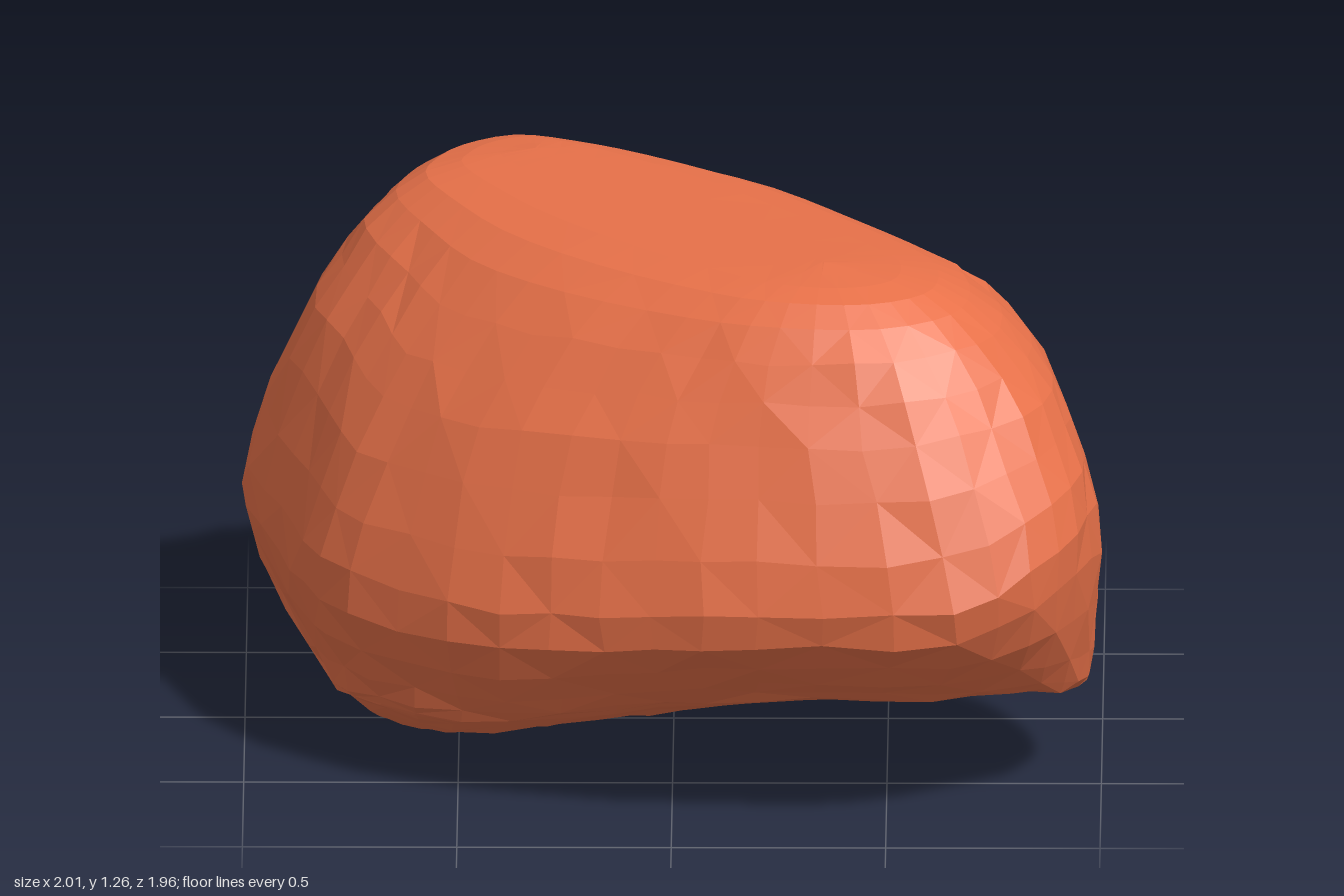
import * as THREE from 'three';

const V = (x, y, z) => new THREE.Vector3(x, y, z);
const toPoints = (a) => Array.from({ length: a.length / 3 }, (_, i) => V(a[3 * i], a[3 * i + 1], a[3 * i + 2]));

// Three loops around the boulder, counter-clockwise from the front as seen from above
const underEdge = toPoints([
  0.2, 0.3, 0.74, 0.6, 0.31, 0.78, 0.85, 0.31, 0.7, 0.96, 0.27, 0.5, 0.96, 0.25, 0.3, 0.82, 0.19, 0,
  0.62, 0.13, -0.18, 0.3, 0.22, -0.3, 0.08, 0.5, -0.58, -0.2, 0.58, -0.76, -0.43, 0.68, -0.92, -0.7, 0.5, -0.7,
  -0.88, 0.38, -0.48, -0.96, 0.32, -0.25, -0.83, 0.17, 0.06, -0.74, 0.18, 0.33, -0.47, 0.2, 0.58, -0.12, 0.26, 0.7]);
const girth = toPoints([
  0.2, 0.53, 0.96, 0.65, 0.54, 0.98, 0.89, 0.64, 0.85, 0.99, 0.68, 0.62, 0.97, 0.6, 0.3, 0.85, 0.54, 0.05,
  0.67, 0.58, -0.25, 0.4, 0.66, -0.51, 0.12, 0.7, -0.68, -0.2, 0.76, -0.83, -0.43, 0.82, -0.98, -0.73, 0.7, -0.79,
  -0.94, 0.58, -0.55, -1, 0.51, -0.3, -0.91, 0.48, 0.05, -0.81, 0.47, 0.37, -0.5, 0.46, 0.69, -0.15, 0.49, 0.85]);
const shoulder = toPoints([
  0.2, 0.94, 0.82, 0.55, 0.95, 0.85, 0.8, 0.98, 0.73, 0.88, 1, 0.5, 0.84, 1, 0.2, 0.74, 1, 0,
  0.58, 1.01, -0.22, 0.37, 1.04, -0.44, 0.1, 1.04, -0.6, -0.16, 1.04, -0.72, -0.42, 1, -0.84, -0.65, 1, -0.7,
  -0.78, 0.98, -0.5, -0.83, 0.96, -0.26, -0.75, 0.93, 0.03, -0.65, 0.88, 0.29, -0.42, 0.9, 0.54, -0.1, 0.92, 0.71]);

// Straight lines on which the surface closes: along the top and along the underside
const crest = new THREE.Line3(V(-0.32, 1.26, -0.42), V(0.35, 1.26, 0.45));
const keel = new THREE.Line3(V(-0.61, 0, 0.05), V(0.6, 0.12, -0.14));
const nearest = (line, p) => line.closestPointToPoint(p, true, V());

// Small seeded generator for the uneven facets
function makeRandom(seed) {
  let s = seed;
  return () => (s = (s * 16807) % 2147483647) / 2147483647;
}

function boulderGeometry(around = 52, up = 24) {
  // Control loops from the keel up to the crest
  const keelRow = underEdge.map((p) => nearest(keel, p));
  const crestRow = shoulder.map((p) => nearest(crest, p));
  // The underside bellies out a little towards the front
  const underside = (t, belly) => underEdge.map((p, i) => {
    const q = p.clone().lerp(keelRow[i], 1 - t);
    q.y -= belly * THREE.MathUtils.clamp(p.z * 2, 0, 1);
    return q;
  });
  // The dome rounds over from shoulder to crest
  const dome = shoulder.map((p, i) => {
    const q = p.clone().lerp(crestRow[i], 0.43);
    q.y = THREE.MathUtils.lerp(p.y, crestRow[i].y, 0.82);
    return q;
  });
  const loops = [keelRow, underside(0.45, 0.045), underside(0.85, 0.025), underEdge, girth, shoulder, dome, crestRow]
    .map((row) => new THREE.CatmullRomCurve3(row, true, 'catmullrom', 0.5));

  // Smooth meridians through the loops, each point nudged a little
  const random = makeRandom(77);
  const positions = [];
  for (let i = 0; i < around; i++) {
    const meridian = new THREE.CatmullRomCurve3(loops.map((c) => c.getPoint(i / around)), false, 'catmullrom', 0.45);
    for (let j = 0; j <= up; j++) {
      const p = meridian.getPoint(j / up);
      const amount = j < 3 || j > up - 5 ? 0 : 0.014;
      p.add(V(random() - 0.5, random() - 0.5, random() - 0.5).multiplyScalar(amount));
      positions.push(p.x, Math.max(p.y, 0), p.z);
    }
  }

  const index = [];
  for (let i = 0; i < around; i++) {
    for (let j = 0; j < up; j++) {
      const a = i * (up + 1) + j;
      const b = ((i + 1) % around) * (up + 1) + j;
      // Alternate the diagonal so the facets look chipped
      if ((i + j) % 2) index.push(a, b, a + 1, b, b + 1, a + 1);
      else index.push(a, b, b + 1, a, b + 1, a + 1);
    }
  }
  const geometry = new THREE.BufferGeometry();
  geometry.setAttribute('position', new THREE.Float32BufferAttribute(positions, 3));
  geometry.setIndex(index);
  geometry.computeVertexNormals();
  return geometry;
}

export function createModel() {
  const group = new THREE.Group();
  group.name = 'rock';
  const material = new THREE.MeshStandardMaterial({ color: 0xe87149, flatShading: true });
  const boulder = new THREE.Mesh(boulderGeometry(), material);
  boulder.name = 'boulder';
  group.add(boulder);
  return group;
}
